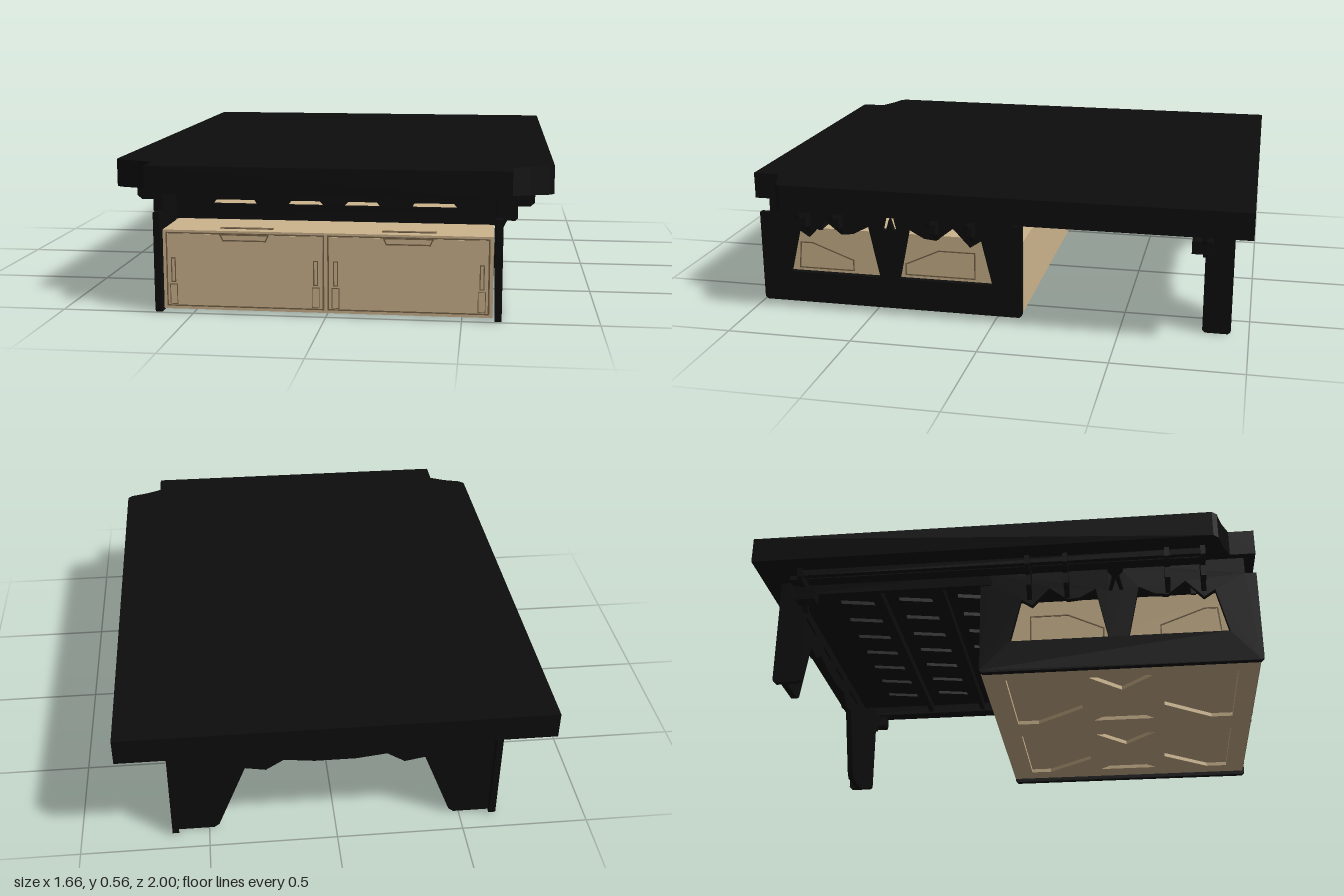
import * as THREE from 'three';

const black = new THREE.MeshStandardMaterial({ color: 0x0d0d0d });
black.name = 'black';
const wood = new THREE.MeshStandardMaterial({ color: 0xcdb58d });
wood.name = 'birch wood';
const seam = new THREE.MeshStandardMaterial({ color: 0x75634a });
seam.name = 'wood seam';

const vecs = (pts) => pts.map(([x, y]) => new THREE.Vector2(x, y));
const flip = (pts) => pts.map(([x, y]) => [-x, y]);
const rect = (x0, x1, y0, y1) => [[x0, y0], [x1, y0], [x1, y1], [x0, y1]];

export function createModel() {
  const model = new THREE.Group();

  const add = (name, geometry, material, x = 0, y = 0, z = 0) => {
    const mesh = new THREE.Mesh(geometry, material);
    mesh.name = name;
    mesh.position.set(x, y, z);
    model.add(mesh);
    return mesh;
  };
  const box = (name, m, x0, x1, y0, y1, z0, z1) =>
    add(name, new THREE.BoxGeometry(x1 - x0, y1 - y0, z1 - z0), m,
      (x0 + x1) / 2, (y0 + y1) / 2, (z0 + z1) / 2);

  // Flat plate with holes; the plane is 'xy' (grows to +z), 'zy' (to -x) or 'xz' (to -y)
  const plate = (name, m, plane, at, depth, outline, holes = []) => {
    const shape = new THREE.Shape(vecs(outline));
    for (const h of holes) shape.holes.push(new THREE.Path(vecs(h)));
    const g = new THREE.ExtrudeGeometry(shape, { depth, bevelEnabled: false });
    if (plane === 'zy') g.rotateY(-Math.PI / 2).translate(at, 0, 0);
    else if (plane === 'xz') g.rotateX(Math.PI / 2).translate(0, at, 0);
    else g.translate(0, 0, at);
    return add(name, g, m);
  };

  // Thin closed seam line on a front ('xy') or side ('zy') face
  const outline = (name, plane, at, pts, w = 0.005) => {
    const group = new THREE.Group();
    group.name = name;
    pts.forEach((p, i) => {
      const q = pts[(i + 1) % pts.length];
      const dx = q[0] - p[0], dy = q[1] - p[1];
      const g = new THREE.BoxGeometry(Math.hypot(dx, dy) + w, w, 0.003);
      g.rotateZ(Math.atan2(dy, dx)).translate((p[0] + q[0]) / 2, (p[1] + q[1]) / 2, 0);
      if (plane === 'zy') g.rotateY(-Math.PI / 2).translate(at, 0, 0);
      else g.translate(0, 0, at);
      group.add(new THREE.Mesh(g, seam));
    });
    model.add(group);
  };

  // Mattress with cut front corners
  const half = [[0.675, 1], [0.675, 0.9], [0.74, 0.87], [0.81, 0.85], [0.83, 0.83], [0.83, -1]];
  plate('mattress', black, 'xz', 0.555, 0.105, [...half, ...flip(half).reverse()]);

  // Deck under the mattress, with ventilation slots
  const vents = [];
  for (const z of [-0.65, -0.4, -0.15])
    for (let x = -0.48; x < 0.5; x += 0.16) vents.push([[x - 0.03, z - 0.07], [x, z - 0.07], [x + 0.03, z + 0.07], [x, z + 0.07]]);
  plate('deck', black, 'xz', 0.452, 0.02, rect(-0.7, 0.7, -0.88, 0.78), vents);
  for (const z of [-0.53, -0.27, -0.08]) box('deckCrossbar', black, -0.62, 0.62, 0.395, 0.45, z - 0.01, z + 0.01);

  // Drawer cabinet
  box('cabinet', wood, -0.612, 0.612, 0.03, 0.315, -0.1, 0.99);
  const bottomHoles = [];
  for (const cx of [-0.3, 0.3]) {
    for (const s of [-1, 1]) {
      bottomHoles.push([[-0.23, 0.46], [0.23, 0.46], [0.23, 0.37], [0.08, 0.17], [-0.08, 0.17], [-0.23, 0.37]]
        .map(([x, z]) => [cx + x, 0.45 + s * z]));
      bottomHoles.push([[0.09, 0], [0.22, 0.13], [0.22, -0.13]].map(([x, z]) => [cx + s * x, 0.45 + z]));
    }
  }
  plate('cabinetBottom', wood, 'xz', 0.03, 0.016, rect(-0.612, 0.612, -0.1, 0.99), bottomHoles);

  // Drawer fronts with handle notches and latches
  for (const s of [-1, 1]) {
    const c = 0.303 * s;
    box('drawerFront', wood, c - 0.291, c + 0.291, 0.031, 0.302, 0.985, 0.996);
    outline('drawerGap', 'xy', 0.992, rect(c - 0.294, c + 0.294, 0.028, 0.304), 0.006);
    outline('handleNotch', 'xy', 0.996, [[c - 0.09, 0.302], [c + 0.09, 0.302], [c + 0.08, 0.28], [c - 0.08, 0.28]]);
    for (const x of [0.037, 0.572]) {
      outline('latch', 'xy', 0.996, rect(s * x - 0.007, s * x + 0.007, 0.12, 0.21), 0.004);
      outline('drawerEdge', 'xy', 0.996, rect(s * x - 0.013, s * x + 0.013, 0.035, 0.11), 0.003);
    }
    // Finger slot on the cabinet top
    box('topSlot', seam, c - 0.1, c + 0.1, 0.314, 0.318, 0.93, 0.95);
    // Side pockets seen through the panel windows
    outline('frontPocket', 'zy', s * 0.613,
      [[0.84, 0.25], [0.79, 0.25], [0.615, 0.185], [0.615, 0.14], [0.85, 0.14]]);
    outline('rearPocket', 'zy', s * 0.613,
      [[0.39, 0.185], [0.25, 0.25], [0.1, 0.25], [0.1, 0.14], [0.39, 0.14]]);
  }

  // Side panels with two windows each and a notch between the upper halves
  const panel = [[-0.1, 0.01], [-0.09, 0], [0.99, 0], [1, 0.01], [1, 0.38], [0.955, 0.38], [0.955, 0.452],
    [0.48, 0.452], [0.475, 0.42], [0.46, 0.4], [0.475, 0.335], [0.46, 0.335], [0.445, 0.385],
    [0.43, 0.335], [0.415, 0.335], [0.43, 0.4], [0.415, 0.42], [0.41, 0.452],
    [-0.06, 0.452], [-0.06, 0.385], [-0.1, 0.385]];
  const frontWindow = [[0.88, 0.13], [0.835, 0.315], [0.79, 0.285], [0.72, 0.36], [0.65, 0.305], [0.6, 0.31],
    [0.535, 0.345], [0.49, 0.13]];
  const rearWindow = frontWindow.map(([z, y]) => [0.9 - z, y]);
  for (const s of [-1, 1]) {
    plate('sidePanel', black, 'zy', s > 0 ? 0.645 : -0.62, 0.025, panel, [frontWindow, rearWindow]);
    box('sideRail', black, s * 0.635 - 0.01, s * 0.635 + 0.01, 0.39, 0.452, -0.9, -0.05);

    // Support arms reaching out under the mattress
    const arm = [[0.63, 0.452], [0.63, 0.31], [0.645, 0.31], [0.66, 0.34], [0.69, 0.34], [0.7, 0.35],
      [0.7, 0.395], [0.745, 0.395], [0.762, 0.41], [0.762, 0.452]];
    for (const z of [0.79, 0.65, 0.25, 0.1, -0.82])
      plate('supportArm', black, 'xy', z - 0.01, 0.02, s > 0 ? arm : flip(arm));
    box('rearArmPad', black, s * 0.67 - 0.03, s * 0.67 + 0.03, 0.34, 0.39, -0.85, -0.77);
    box('armRail', black, s * 0.73 - 0.012, s * 0.73 + 0.012, 0.425, 0.452, -0.82, 0.79);

    // Rear leg flange
    plate('rearLegFlange', black, 'zy', s > 0 ? 0.645 : -0.62, 0.025,
      [[-0.93, 0.01], [-0.92, 0], [-0.83, 0], [-0.82, 0.01], [-0.82, 0.452], [-0.93, 0.452]]);
  }

  // Slotted cross panels at the front and the rear
  const slots = [[[-0.475, 0.375], [-0.3, 0.375], [-0.31, 0.392], [-0.46, 0.392]],
    [[-0.18, 0.375], [-0.04, 0.375], [-0.055, 0.392], [-0.165, 0.392]]];
  slots.push(...slots.map(flip));
  plate('frontBeam', black, 'xy', 0.74, 0.02, rect(-0.625, 0.625, 0.312, 0.452), slots);
  const leg = [[0.63, 0.452], [0.63, 0], [0.48, 0], [0.46, 0.015], [0.35, 0.3], [0.27, 0.285], [0.2, 0.33], [0.08, 0.315]];
  plate('rearLegPanel', black, 'xy', -0.9, 0.025, [...leg, ...flip(leg).reverse()], slots);

  return model;
}
